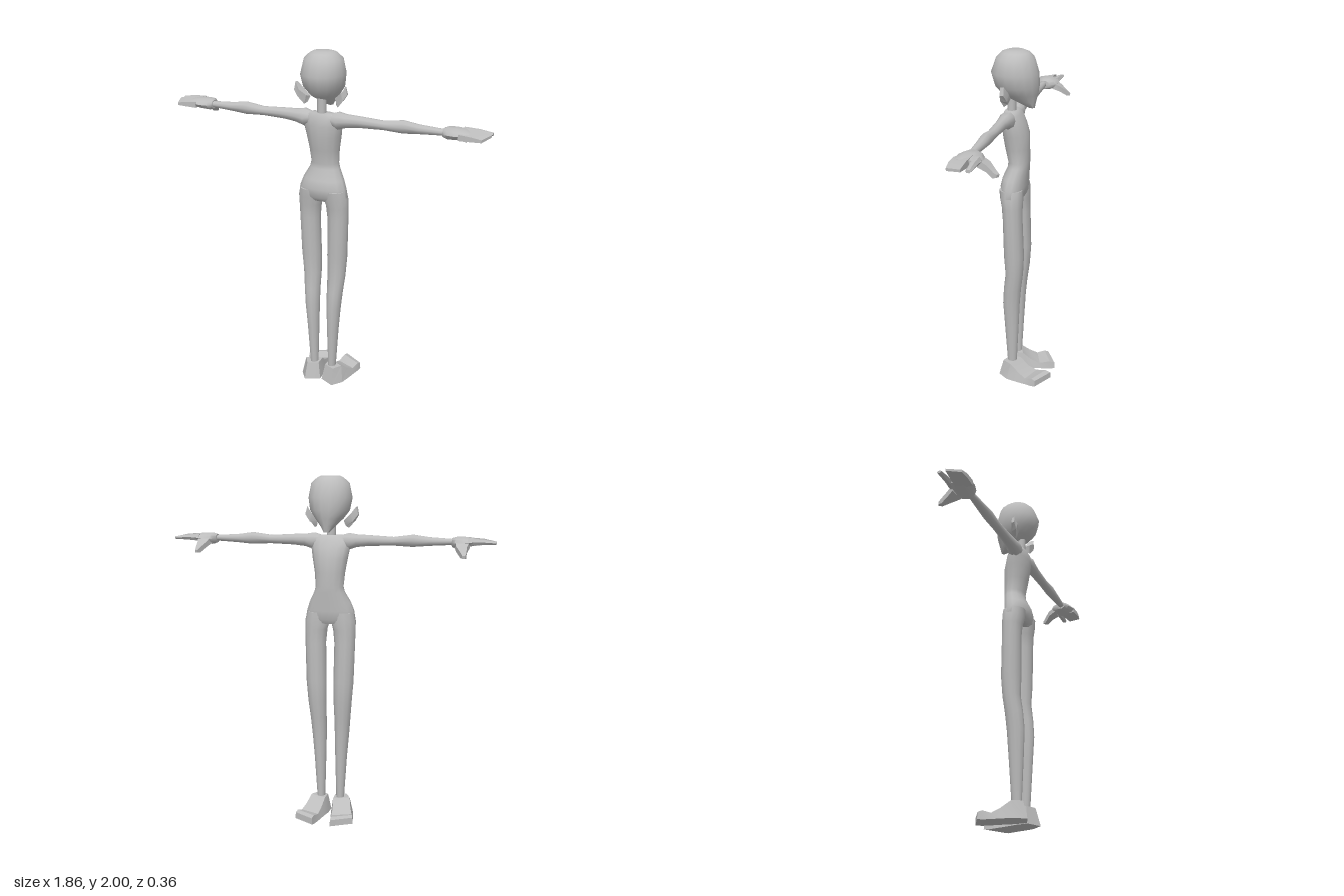
import * as THREE from 'three';
import { toCreasedNormals } from 'three/addons/utils/BufferGeometryUtils.js';

const grey = new THREE.MeshStandardMaterial({ color: 0xbdbdbd });
grey.name = 'plain grey';

// Skin rings of [x, y, z] points into a closed body with capped ends
function loft(rings, crease = 0.75) {
  const n = rings[0].length, last = rings.length - 1, tris = [];
  const mid = r => [0, 1, 2].map(k => r.reduce((s, p) => s + p[k], 0) / n);
  const a = mid(rings[0]), b = mid(rings[last]);
  for (let j = 0; j < n; j++) {
    const k = (j + 1) % n;
    for (let i = 0; i < last; i++) {
      const p = rings[i], q = rings[i + 1];
      tris.push([p[j], p[k], q[k]], [p[j], q[k], q[j]]);
    }
    tris.push([a, rings[0][k], rings[0][j]], [b, rings[last][j], rings[last][k]]);
  }
  // Turn the faces outward whichever way the rings run
  let volume = 0;
  for (const [p, q, r] of tris) {
    const [P, Q, R] = [p, q, r].map(v => new THREE.Vector3(v[0] - a[0], v[1] - a[1], v[2] - a[2]));
    volume += P.dot(Q.cross(R));
  }
  if (volume < 0) tris.forEach(t => t.reverse());
  const geometry = new THREE.BufferGeometry();
  geometry.setAttribute('position', new THREE.Float32BufferAttribute(tris.flat(2), 3));
  return toCreasedNormals(geometry, crease);
}

const turn = (n, f) => Array.from({ length: n }, (_, j) => {
  const t = (j + 0.5) / n * Math.PI * 2;
  return f(Math.cos(t), Math.sin(t));
});

// Level ring: height, x from/to, z from/to
const levelRing = (n, [y, x0, x1, z0, z1]) => turn(n, (c, s) =>
  [(x0 + x1) / 2 + c * (x1 - x0) / 2, y, (z0 + z1) / 2 + s * (z1 - z0) / 2]);

// Upright ring across the arm: x, y from/to, z from/to
const armRing = (n, [x, y0, y1, z0, z1]) => turn(n, (c, s) =>
  [x, (y0 + y1) / 2 + c * (y1 - y0) / 2, (z0 + z1) / 2 + s * (z1 - z0) / 2]);

const mirror = rings => rings.map(r => r.map(([x, y, z]) => [-x, y, z]));

export function createModel() {
  const model = new THREE.Group();
  model.name = 'figure';
  const add = (name, rings, crease) => {
    const mesh = new THREE.Mesh(loft(rings, crease), grey);
    mesh.name = name;
    model.add(mesh);
  };
  const pair = (name, rings, crease) => {
    add('left' + name, rings, crease);
    add('right' + name, mirror(rings), crease);
  };

  // Head with a pointed chin toward -z
  add('head', [
    [2.0, 0.055, 0.0, 0.1], [1.99, 0.075, -0.03, 0.125], [1.96, 0.108, -0.058, 0.153],
    [1.88, 0.124, -0.082, 0.182], [1.81, 0.112, -0.084, 0.162], [1.765, 0.08, -0.077, 0.125],
    [1.725, 0.043, -0.067, 0.05], [1.69, 0.015, -0.06, -0.025],
  ].map(([y, w, z0, z1]) => levelRing(16, [y, -w, w, z0, z1])), 1.1);

  add('neck', [
    [1.79, -0.026, 0.026, 0.045, 0.098], [1.64, -0.026, 0.026, 0.045, 0.095],
  ].map(s => levelRing(10, s)));

  // Ears flare out and up
  pair('Ear', [
    [[0.075, 1.75, 0.055], [0.085, 1.72, 0.07], [0.1, 1.71, 0.085], [0.085, 1.76, 0.09]],
    [[0.115, 1.79, 0.055], [0.125, 1.745, 0.06], [0.135, 1.75, 0.095], [0.125, 1.79, 0.1]],
    [[0.142, 1.828, 0.072], [0.155, 1.785, 0.072], [0.157, 1.785, 0.092], [0.148, 1.83, 0.09]],
  ], 0.4);

  // Torso from shoulders to crotch
  add('torso', [
    [1.67, 0.075, 0.035, 0.105], [1.65, 0.115, 0.018, 0.115], [1.6, 0.113, -0.008, 0.12],
    [1.54, 0.102, -0.028, 0.117], [1.46, 0.088, -0.031, 0.105], [1.38, 0.081, -0.032, 0.088],
    [1.35, 0.089, -0.03, 0.09], [1.29, 0.121, -0.024, 0.118], [1.24, 0.139, -0.02, 0.129],
    [1.19, 0.148, -0.015, 0.12], [1.165, 0.13, 0.0, 0.1],
  ].map(([y, w, z0, z1]) => levelRing(14, [y, -w, w, z0, z1])), 0.9);

  // Legs
  pair('Leg', [
    [1.23, 0.01, 0.138, -0.012, 0.122], [1.18, 0.003, 0.149, -0.014, 0.117],
    [1.13, 0.018, 0.149, -0.012, 0.106], [1.05, 0.026, 0.147, -0.012, 0.1],
    [0.82, 0.022, 0.14, -0.019, 0.097], [0.7, 0.023, 0.13, -0.012, 0.09],
    [0.6, 0.025, 0.12, 0.001, 0.103], [0.5, 0.026, 0.111, 0.01, 0.11],
    [0.35, 0.029, 0.098, 0.018, 0.102], [0.07, 0.036, 0.08, 0.033, 0.086],
  ].map(s => levelRing(12, s)), 0.9);

  // Feet turned outward; each ring is sole inner, sole outer, top outer, top inner
  pair('Foot', [
    [[0.005, 0, 0.095], [0.09, 0, 0.135], [0.085, 0.1, 0.108], [0.022, 0.1, 0.08]],
    [[0.008, 0, 0.03], [0.135, 0, 0.075], [0.118, 0.1, 0.055], [0.025, 0.1, 0.015]],
    [[0.022, 0, -0.035], [0.15, 0, 0.01], [0.135, 0.06, 0.0], [0.035, 0.055, -0.035]],
    [[0.032, 0, -0.09], [0.16, 0, -0.045], [0.152, 0.035, -0.045], [0.04, 0.035, -0.09]],
    [[0.044, 0, -0.15], [0.17, 0, -0.09], [0.165, 0.05, -0.09], [0.05, 0.05, -0.15]],
    [[0.052, 0.005, -0.183], [0.174, 0.005, -0.113], [0.171, 0.042, -0.113], [0.055, 0.042, -0.181]],
  ], 0.45);

  // Arms
  pair('Arm', [
    [0.04, 1.61, 1.665, 0.04, 0.1], [0.1, 1.585, 1.684, 0.022, 0.116], [0.15, 1.602, 1.676, 0.035, 0.108],
    [0.22, 1.61, 1.673, 0.04, 0.1], [0.36, 1.615, 1.665, 0.042, 0.097],
    [0.47, 1.609, 1.68, 0.04, 0.098], [0.56, 1.617, 1.667, 0.043, 0.095], [0.71, 1.626, 1.658, 0.05, 0.086],
  ].map(s => armRing(10, s)), 0.9);

  // Mitten hands: palm, index finger, joined fingers and thumb
  pair('Palm', [
    [0.688, 1.615, 1.665, 0.03, 0.095], [0.71, 1.606, 1.672, -0.005, 0.112],
    [0.755, 1.61, 1.673, -0.014, 0.126], [0.8, 1.622, 1.669, -0.014, 0.125], [0.83, 1.632, 1.662, -0.006, 0.118],
  ].map(s => armRing(10, s)), 0.9);
  pair('IndexFinger', [
    [0.78, 1.625, 1.668, -0.012, 0.032], [0.86, 1.631, 1.664, -0.011, 0.026], [0.93, 1.635, 1.652, -0.01, 0.019],
  ].map(s => armRing(6, s)), 0.7);
  pair('Fingers', [
    [[0.78, 1.622, 0.032], [0.78, 1.622, 0.125], [0.78, 1.655, 0.125], [0.78, 1.67, 0.032]],
    [[0.86, 1.63, 0.037], [0.85, 1.625, 0.128], [0.85, 1.65, 0.128], [0.86, 1.666, 0.037]],
    [[0.932, 1.637, 0.042], [0.902, 1.625, 0.122], [0.902, 1.64, 0.122], [0.932, 1.65, 0.042]],
  ], 0.6);
  pair('Thumb', [
    [[0.705, 1.615, 0.02], [0.79, 1.615, 0.01], [0.79, 1.655, 0.01], [0.71, 1.655, 0.02]],
    [[0.72, 1.595, -0.03], [0.778, 1.59, -0.03], [0.778, 1.622, -0.035], [0.72, 1.625, -0.035]],
    [[0.748, 1.565, -0.068], [0.778, 1.562, -0.062], [0.778, 1.59, -0.067], [0.748, 1.595, -0.072]],
    [[0.758, 1.565, -0.088], [0.774, 1.565, -0.08], [0.774, 1.58, -0.082], [0.758, 1.58, -0.09]],
  ], 0.6);

  return model;
}
